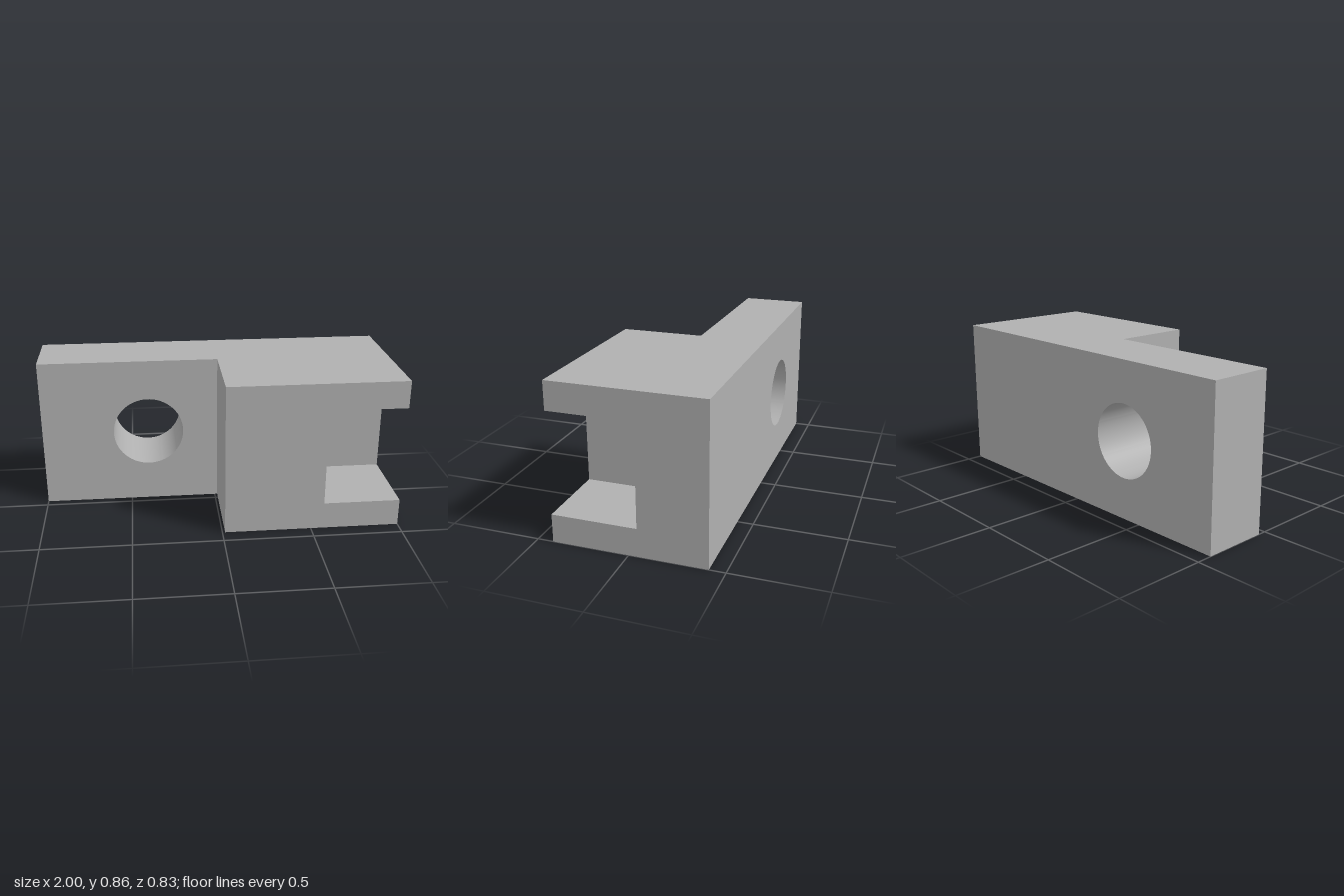
import * as THREE from 'three';
import { toCreasedNormals } from 'three/addons/utils/BufferGeometryUtils.js';

const HEIGHT = 0.863;
const BACK = -0.414, STEP = -0.046, FRONT = 0.414;

// Extrude a front outline from z0 to z1, keeping the bore smooth and edges sharp
function prism(name, shape, z0, z1, material) {
  const geometry = new THREE.ExtrudeGeometry(shape, {
    depth: z1 - z0, bevelEnabled: false, curveSegments: 64,
  });
  geometry.translate(0, 0, z0);
  const mesh = new THREE.Mesh(toCreasedNormals(geometry, Math.PI / 6), material);
  mesh.name = name;
  return mesh;
}

function outline(points) {
  return new THREE.Shape(points.map(([x, y]) => new THREE.Vector2(x, y)));
}

export function createModel() {
  const group = new THREE.Group();
  group.name = 'steppedBracket';
  const grey = new THREE.MeshStandardMaterial({ color: 0xb0b0b0 });
  grey.name = 'plain grey';

  // Full-length back plate with a round through hole
  const plate = outline([[-1, 0], [1, 0], [1, HEIGHT], [-1, HEIGHT]]);
  const bore = new THREE.Path();
  bore.absarc(-0.388, HEIGHT / 2, 0.202, 0, Math.PI * 2, true);
  plate.holes.push(bore);
  group.add(prism('backPlate', plate, BACK, STEP, grey));

  // Thick front block with a rectangular slot open to the front and left end
  const low = 0.154, high = 0.709, slot = 0.57, edge = 0.015;
  const block = outline([
    [edge, 0], [1, 0], [1, low], [slot, low],
    [slot, high], [1, high], [1, HEIGHT], [edge, HEIGHT],
  ]);
  group.add(prism('slottedBlock', block, STEP, FRONT, grey));

  return group;
}
